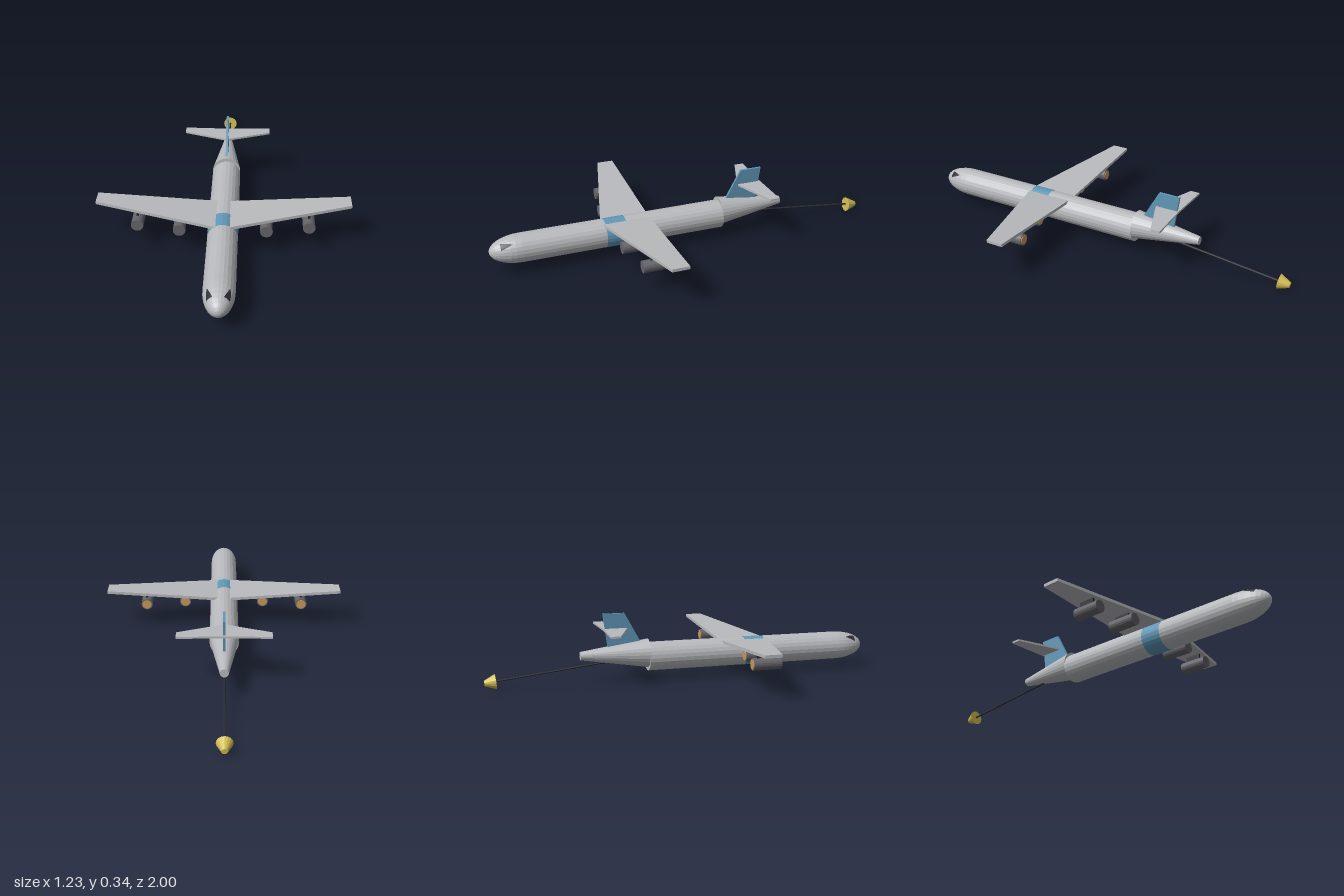
import * as THREE from 'three';

const paint = (name, color) => Object.assign(new THREE.MeshStandardMaterial({ color }), { name });
const lerp = THREE.MathUtils.lerp;

export function createModel() {
  const grey = paint('airframe grey', 0xb8babd);
  const blue = paint('marking blue', 0x6098b8);
  const dark = paint('engine grey', 0x64646a);
  const tan = paint('nozzle tan', 0xc89a58);
  const yellow = paint('drogue yellow', 0xd2bc52);
  const black = paint('hose black', 0x2a2b33);
  const glass = paint('cockpit glass', 0x2e3036);
  glass.side = THREE.DoubleSide;

  const model = new THREE.Group();
  model.name = 'tankerAircraft';

  const add = (name, geometry, material, x = 0, y = 0, z = 0) => {
    const flat = geometry.index ? geometry.toNonIndexed() : geometry;
    flat.computeVertexNormals();
    const mesh = new THREE.Mesh(flat, material);
    mesh.name = name;
    mesh.position.set(x, y, z);
    model.add(mesh);
    return mesh;
  };
  // cylinder lying along z, with separate front and back radii
  const barrel = (front, back, length, sides = 24) =>
    new THREE.CylinderGeometry(front, back, length, sides).rotateX(Math.PI / 2);
  // moves every vertex of a geometry by a rule
  const shape = (geometry, rule) => {
    const p = geometry.attributes.position;
    for (let i = 0; i < p.count; i++) p.setXYZ(i, ...rule(p.getX(i), p.getY(i), p.getZ(i)));
    return geometry;
  };
  // mirrored lifting surface tapering from root to tip
  const surface = (span, root, tip, thickness) =>
    shape(new THREE.BoxGeometry(2, thickness, 1, 2, 1, 1), (x, y, z) => {
      const t = Math.abs(x);
      const key = z > 0 ? 'lead' : 'trail';
      return [x * span, y + lerp(root.y, tip.y, t), lerp(root[key], tip[key], t)];
    });

  // Fuselage
  const R = 0.0725, axisY = 0.126, noseZ = 0.845, noseL = 0.155;
  add('fuselage', barrel(R, R, 1.033), grey, 0, axisY, 0.3285);
  add('fuselageBand', barrel(R + 0.001, R + 0.001, 0.105), blue, 0, axisY, 0.376);
  add('nose', new THREE.SphereGeometry(R, 24, 8, 0, Math.PI * 2, 0, Math.PI / 2)
    .rotateX(Math.PI / 2).scale(1, 1, noseL / R), grey, 0, axisY, noseZ);
  add('tailCone', barrel(0.0725, 0.021, 0.345), grey, 0, 0.1445, -0.3575).rotation.x = 0.008;

  // Cockpit windows: triangular patches wrapped on the nose, wide end forward
  for (const side of [-1, 1]) {
    const pane = shape(new THREE.PlaneGeometry(1, 1, 4, 4), (u, v) => {
      const t = v + 0.5;
      const z = 0.045 + 0.057 * t;
      const r = R * Math.sqrt(1 - (z / noseL) ** 2) + 0.0012;
      const a = Math.PI / 4 + u * t * 0.65;
      return [side * r * Math.sin(a), r * Math.cos(a), z];
    });
    add(side > 0 ? 'leftCockpitWindow' : 'rightCockpitWindow', pane, glass, 0, axisY, noseZ);
  }

  // Wing, tailplane and fin
  add('wing', surface(0.616, { lead: 0.446, trail: 0.2, y: 0.181 },
    { lead: 0.288, trail: 0.203, y: 0.221 }, 0.015), grey);
  add('tailplane', surface(0.226, { lead: -0.288, trail: -0.413, y: 0.272 },
    { lead: -0.372, trail: -0.42, y: 0.272 }, 0.01), grey);
  add('fin', shape(new THREE.BoxGeometry(0.012, 1, 1), (x, y, z) => {
    const t = y + 0.5;
    return [x, lerp(0.18, 0.352, t), z > 0 ? lerp(-0.211, -0.305, t) : lerp(-0.391, -0.415, t)];
  }), blue);

  // Engines on pylons
  for (const side of [-1, 1]) {
    for (const [place, x, z] of [['inner', 0.207, 0.329], ['outer', 0.411, 0.292]]) {
      const name = place + (side > 0 ? 'Left' : 'Right');
      add(name + 'Engine', barrel(0.03, 0.03, 0.14, 20), dark, side * x, 0.143, z);
      add(name + 'Nozzle', barrel(0.024, 0.024, 0.006, 20), tan, side * x, 0.143, z - 0.07);
      add(name + 'Pylon', new THREE.BoxGeometry(0.01, 0.035, 0.08), black, side * x, 0.181, z - 0.01);
    }
  }

  // Refuelling hose and drogue
  const start = new THREE.Vector3(0, 0.112, -0.37), end = new THREE.Vector3(0, 0.046, -0.95);
  const hose = new THREE.LineCurve3(start, end);
  add('hose', new THREE.TubeGeometry(hose, 1, 0.005, 8), black);
  add('drogue', barrel(0.038, 0.014, 0.055, 16), yellow, 0, 0.042, -0.971).rotation.x = -0.11;

  return model;
}
